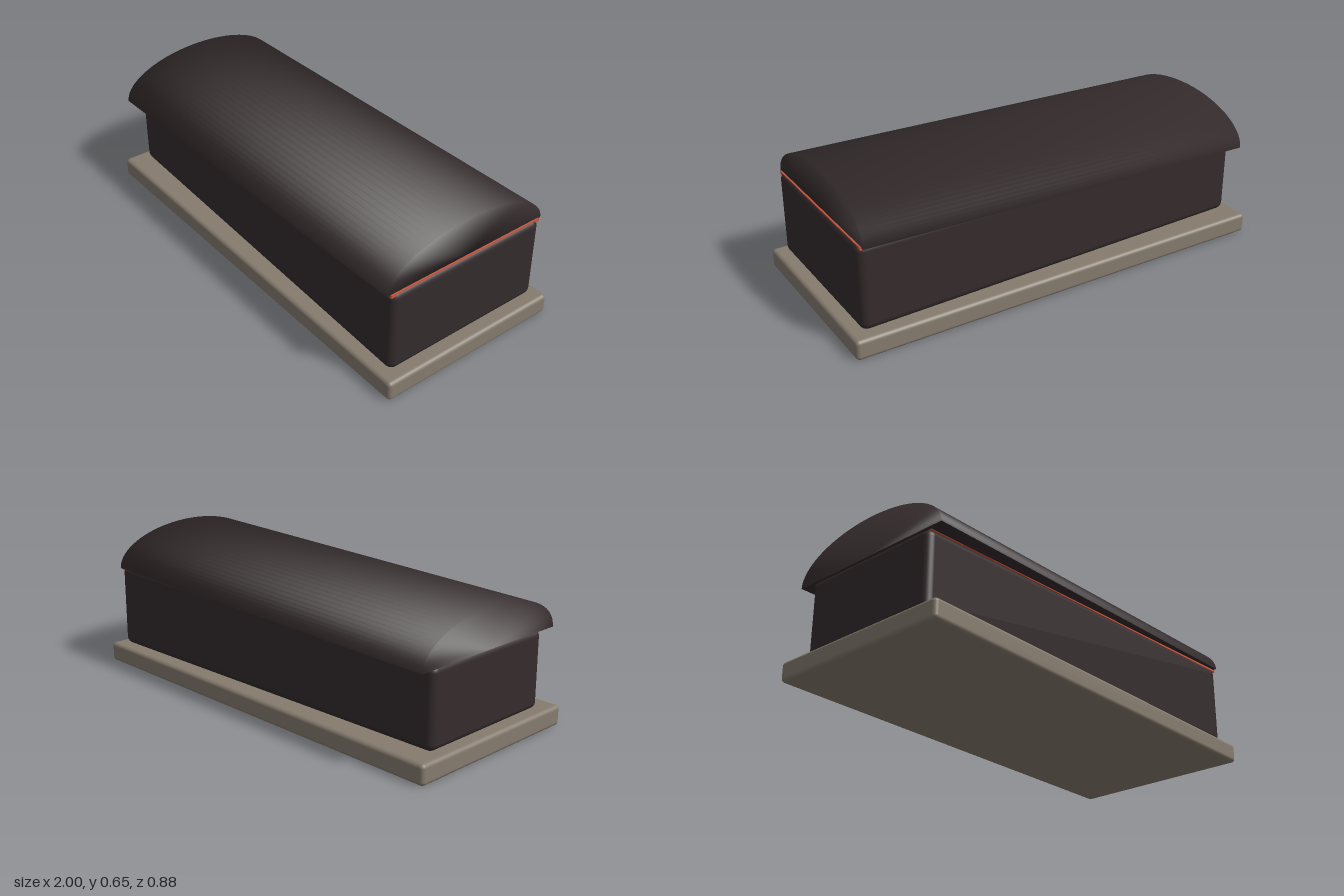
import * as THREE from 'three';
import { RoundedBoxGeometry } from 'three/addons/geometries/RoundedBoxGeometry.js';

const material = (name, color) => {
  const m = new THREE.MeshStandardMaterial({ color });
  m.name = name;
  return m;
};

const FLOOR = 0.09; // top of the plinth
const HEAD = 0.95, BODY_LENGTH = 1.905;

// Narrows and lowers a geometry steadily from the head (+x) to the foot (-x)
function taper(geometry, narrowing, lowering) {
  const p = geometry.attributes.position;
  for (let i = 0; i < p.count; i++) {
    const t = (HEAD - p.getX(i)) / BODY_LENGTH;
    p.setZ(i, p.getZ(i) * (1 - narrowing * t));
    p.setY(i, FLOOR + (p.getY(i) - FLOOR) * (1 - lowering * t));
  }
  return geometry;
}

// Half elliptical barrel along x, its normals blended softly over the ends
function barrel(length, height, halfWidth) {
  const g = new THREE.CylinderGeometry(1, 1, length, 40, 1, false, -Math.PI / 2, Math.PI);
  g.rotateX(-Math.PI / 2).rotateY(Math.PI / 2).scale(1, height, halfWidth);
  const p = g.attributes.position;
  const n = new THREE.Vector3();
  for (let i = 0; i < p.count; i++) {
    n.set(0, p.getY(i) / height ** 2, p.getZ(i) / halfWidth ** 2).normalize();
    n.x = 0.7 * Math.sign(p.getX(i));
    n.normalize();
    g.attributes.normal.setXYZ(i, n.x, n.y, n.z);
  }
  return g;
}

export function createModel() {
  const stone = material('stone', 0x857b6e);
  const darkWood = material('dark wood', 0x342b2c);
  const ember = material('ember red', 0xc8553d);

  const model = new THREE.Group();
  model.name = 'chest';
  const add = (parent, name, geometry, mat) => {
    const mesh = new THREE.Mesh(geometry, mat);
    mesh.name = name;
    parent.add(mesh);
    return mesh;
  };

  // Stone plinth
  add(model, 'plinth', new RoundedBoxGeometry(2, FLOOR, 0.876, 4, 0.018), stone).position.y = FLOOR / 2;

  // Box body, tapering to the foot
  const body = new RoundedBoxGeometry(BODY_LENGTH, 0.39, 0.788, 5, 0.035);
  body.translate(HEAD - BODY_LENGTH / 2, FLOOR + 0.195, 0);
  add(model, 'body', taper(body, 0.14, 0.105), darkWood);

  // Glowing seam showing under the raised end of the lid
  const seam = new THREE.BoxGeometry(1.88, 0.014, 0.788).translate(0, 0.468, 0);
  add(model, 'seam', taper(seam, 0.14, 0.08), ember);

  // Barrel lid, sloping down to the foot
  const lid = new THREE.Group();
  lid.name = 'lid';
  lid.position.set(-0.012, 0.451, 0);
  lid.rotation.z = 0.0206;
  model.add(lid);
  add(lid, 'lidBarrel', barrel(1.89, 0.179, 0.409), darkWood);
  add(lid, 'lidUnderside', new THREE.PlaneGeometry(1.89, 0.818).rotateX(Math.PI / 2), darkWood);

  return model;
}
